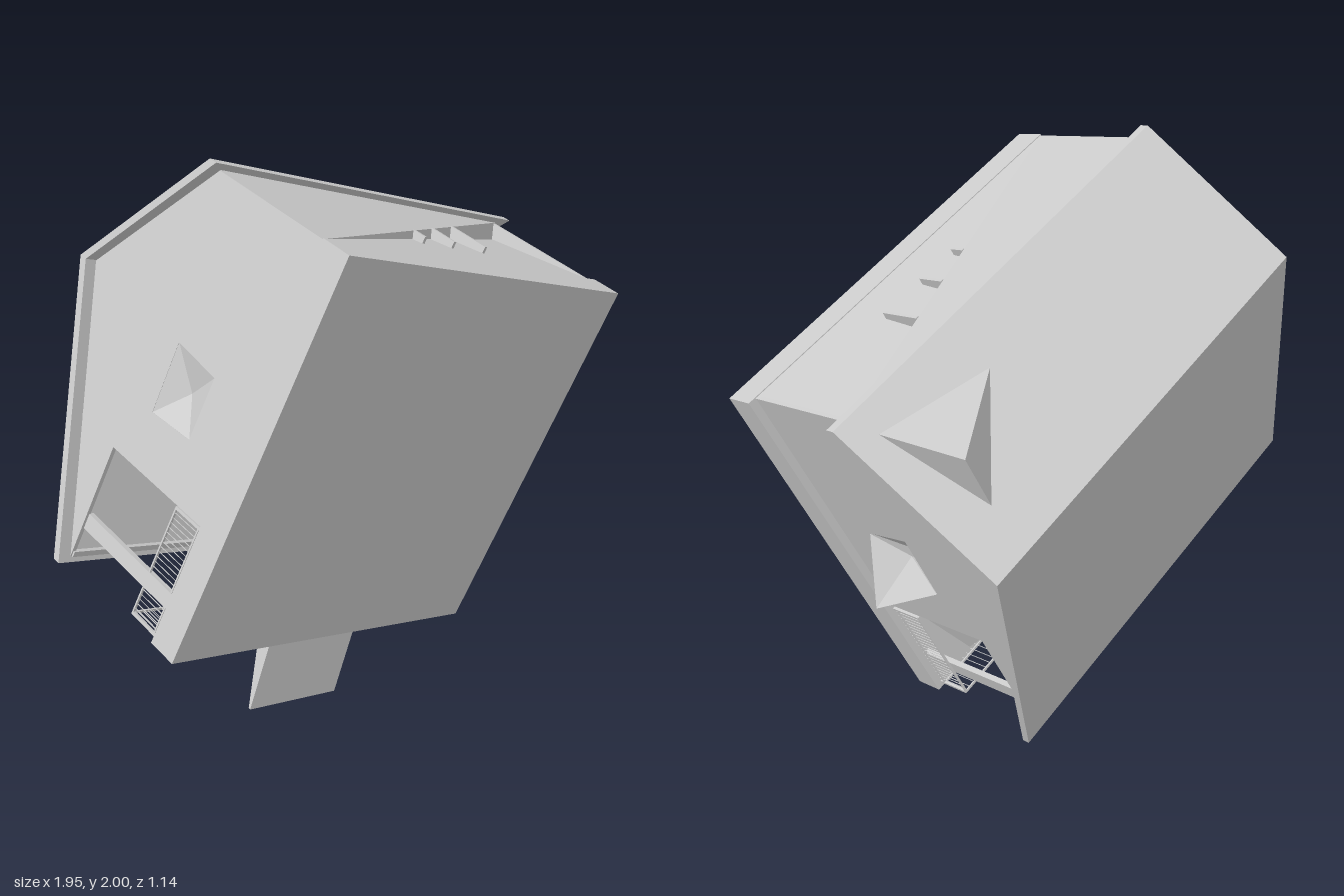
import * as THREE from 'three';

const grey = new THREE.MeshStandardMaterial({ color: 0xcccccc, flatShading: true, side: THREE.DoubleSide });
grey.name = 'plain grey';

// The cabin is built upright (x along the ridge, y towards the porch, z up), then tipped over.
export function createModel() {
  const house = new THREE.Group();
  house.name = 'cabin';

  const add = (name, geometry, parent = house) => {
    const mesh = new THREE.Mesh(geometry, grey);
    mesh.name = name;
    parent.add(mesh);
    return mesh;
  };
  // Box given by its two opposite corners
  const box = (name, x0, y0, z0, x1, y1, z1, parent) => {
    const g = new THREE.BoxGeometry(x1 - x0, y1 - y0, z1 - z0);
    g.translate((x0 + x1) / 2, (y0 + y1) / 2, (z0 + z1) / 2);
    return add(name, g, parent);
  };
  // Outline in y,z pushed along x, with optional four-cornered holes
  const alongX = (name, points, x0, x1, holes = []) => {
    const toVectors = list => list.map(p => new THREE.Vector2(...p));
    const shape = new THREE.Shape(toVectors(points));
    for (const hole of holes) shape.holes.push(new THREE.Path(toVectors(hole)));
    const g = new THREE.ExtrudeGeometry(shape, { depth: x1 - x0, bevelEnabled: false });
    g.applyMatrix4(new THREE.Matrix4().set(0, 0, 1, x0, 1, 0, 0, 0, 0, 1, 0, 0, 0, 0, 0, 1));
    return add(name, g);
  };
  // Faceted surface from corners and triangles
  const facets = (name, corners, faces) => {
    const g = new THREE.BufferGeometry();
    g.setAttribute('position', new THREE.Float32BufferAttribute(faces.flat().flatMap(i => corners[i]), 3));
    g.computeVertexNormals();
    return add(name, g);
  };

  // Floor slab
  box('floor', 0, 0, 0, 1.494, 1.393, 0.11);

  // Sloping entrance plate with a small peaked step behind it
  alongX('entranceRamp', [[1.385, 0.045], [1.665, 0], [1.665, 0.008], [1.385, 0.11]], 0.49, 0.93);
  facets('entranceStep',
    [[0.93, 1.39, 0.11], [0.49, 1.39, 0.11], [0.49, 1.37, 0.16], [0.66, 1.35, 0.22]],
    [[0, 3, 1], [1, 3, 2]]);

  // Roof with two unequal slopes
  alongX('roof', [[-0.02, 0.603], [-0.02, 0.572], [0.488, 0.962], [1.41, 0.577],
    [1.41, 0.605], [0.488, 0.992]], -0.035, 1.53);

  // Gable walls, carried over the porch
  const gable = [[0.005, 0.11], [0.965, 0.11], [0.965, 0.577], [1.385, 0.577], [0.488, 0.958], [0.005, 0.585]];
  const windowHole = [[0.55, 0.29], [0.53, 0.48], [0.775, 0.475], [0.765, 0.29]];
  alongX('rightGable', gable, 0.005, 0.02, [windowHole]);
  alongX('leftGable', gable, 1.45, 1.465, [windowHole]);

  // Window recesses, shallow pyramids sunk into both gables
  for (const [name, x, inner] of [['rightWindow', 0.006, 0.05], ['leftWindow', 1.464, 1.4]]) {
    facets(name, [...windowHole.map(p => [x, ...p]), [inner, 0.66, 0.39]],
      [[0, 1, 4], [1, 2, 4], [2, 3, 4], [3, 0, 4]]);
  }

  // Folded shutter standing out from the left window
  facets('windowShutter',
    [[1.467, 0.55, 0.29], [1.467, 0.775, 0.475], [1.6, 0.763, 0.31], [1.43, 0.66, 0.39]],
    [[0, 2, 3], [1, 3, 2]]);

  // Back wall, upper half flush and lower half leaning slightly inwards
  facets('backWall',
    [[0.003, 0.003, 0.11], [1.465, 0.003, 0.585], [0.003, 0.003, 0.585], [1.465, 0.003, 0.11], [1.465, 0.06, 0.56]],
    [[0, 1, 2], [0, 3, 4], [0, 4, 1]]);

  // Remains of the back window on the leaning half
  for (const x of [0.66, 0.82, 1.0]) box('backWindowBar', x, 0.0, 0.27, x + 0.012, 0.04, 0.11 + 0.325 * x);

  // Front wall and a triangular shutter reaching over the porch
  box('frontWall', 0.01, 0.945, 0.11, 1.46, 0.965, 0.77);
  facets('porchShutter',
    [[1.44, 0.965, 0.13], [1.44, 0.965, 0.577], [1.4, 1.01, 0.53], [1.4, 1.167, 0.33], [1.4, 1.12, 0.27]],
    [[0, 4, 3], [0, 3, 2], [0, 2, 1]]);

  // Pointed chimney on the back slope
  facets('chimney',
    [[1.02, 0.13, 0.71], [1.44, 0.055, 0.656], [1.36, 0.36, 0.89], [1.375, 0.155, 0.915]],
    [[0, 1, 3], [1, 2, 3], [2, 0, 3]]);

  // Porch posts and beam
  for (const x of [0.015, 1.44]) box('porchPost', x, 1.22, 0.11, x + 0.02, 1.275, 0.58);
  box('porchBeam', 0.01, 1.365, 0.57, 1.46, 1.385, 0.585);

  // Porch railings: top and bottom rail with thin balusters
  const railing = (name, x0, y0, x1, y1) => {
    const group = new THREE.Group();
    group.name = name;
    house.add(group);
    const t = 0.004, count = 22;
    for (const z of [0.125, 0.24]) box('rail', x0 - t, y0 - t, z, x1 + t, y1 + t, z + 0.006, group);
    for (let i = 0; i <= count; i++) {
      const x = x0 + (x1 - x0) * i / count, y = y0 + (y1 - y0) * i / count;
      const r = i % count ? 0.001 : 0.005;
      box('baluster', x - r, y - r, 0.11, x + r, y + r, 0.243, group);
    }
  };
  railing('rightRailing', 0.02, 0.98, 0.02, 1.375);
  railing('leftRailing', 1.465, 0.98, 1.465, 1.375);
  railing('frontRailingRight', 0.02, 1.375, 0.47, 1.375);
  railing('frontRailingLeft', 0.95, 1.375, 1.465, 1.375);

  // Tip the cabin onto its porch edge, floor towards the front
  const along = new THREE.Vector3(1.41, -0.49, -0.07).normalize();
  const porch = new THREE.Vector3(-0.46, -1.28, -0.3);
  const up = new THREE.Vector3().crossVectors(along, porch).normalize();
  porch.crossVectors(up, along);
  house.quaternion.setFromRotationMatrix(new THREE.Matrix4().makeBasis(along, porch, up));
  house.position.set(-0.5, 1.835, 0.57);

  const model = new THREE.Group();
  model.name = 'tippedCabin';
  model.add(house);
  return model;
}
